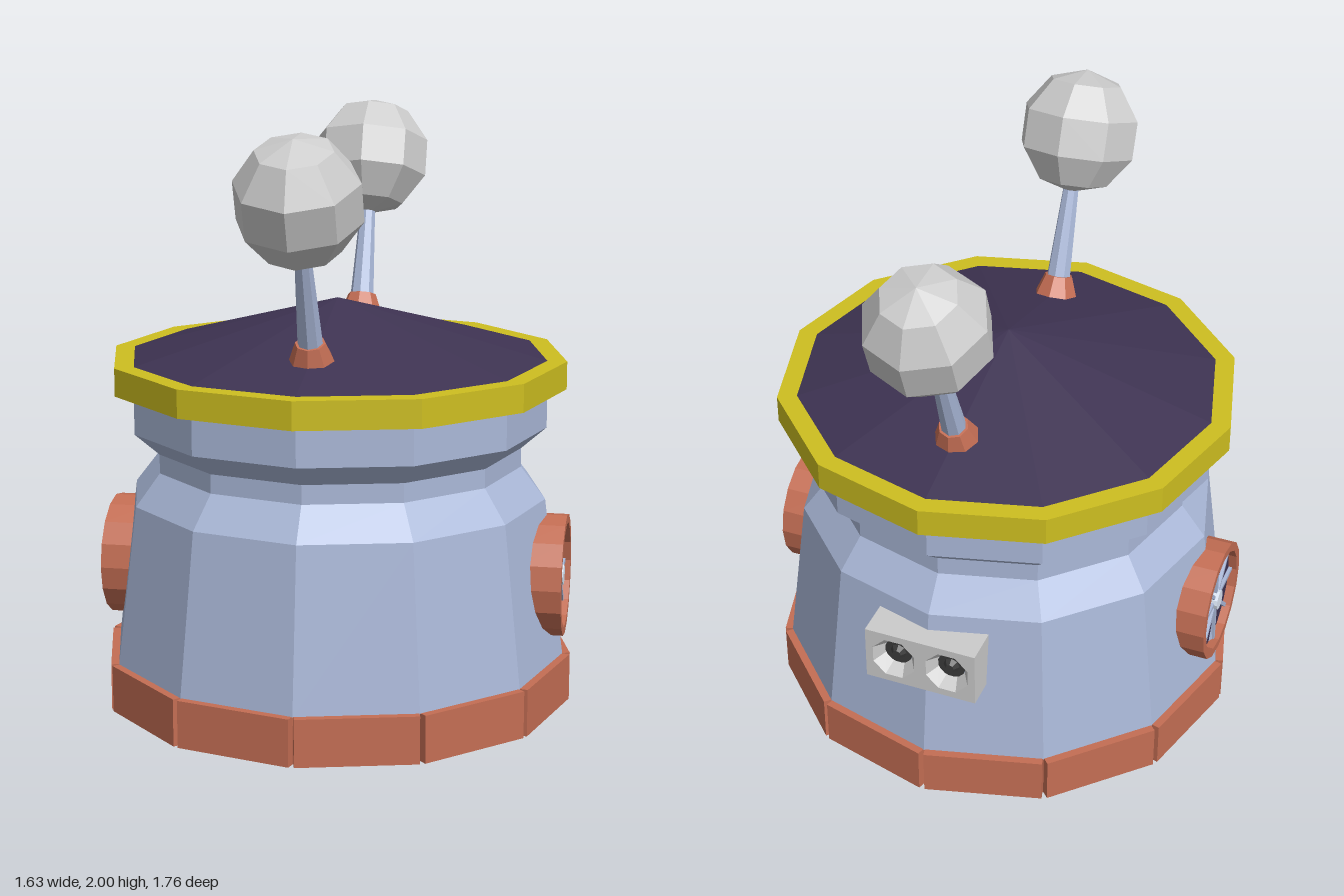
import * as THREE from 'three';

const mat = (color, side = THREE.FrontSide) =>
  new THREE.MeshStandardMaterial({ color, flatShading: true, side });
const wallMat = mat(0xaab8d8);
const brickMat = mat(0xc46e54);
const ringMat = mat(0xc46e54, THREE.DoubleSide);
const rimMat = mat(0xcdbe20);
const roofMat = mat(0x3e3352);
const greyMat = mat(0xcccccc);
const cupMat = mat(0xcccccc, THREE.DoubleSide);
const darkMat = mat(0x3a3a3a);
const hubMat = mat(0xdce6f5);

function add(parent, name, geometry, material, x = 0, y = 0, z = 0) {
  const mesh = new THREE.Mesh(geometry, material);
  mesh.name = name;
  mesh.position.set(x, y, z);
  parent.add(mesh);
  return mesh;
}

// Round spoked window facing +x, optionally with dark glass
function createWindow(glazed) {
  const g = new THREE.Group();
  g.name = 'window';
  const profile = [[0.18, 0.66], [0.21, 0.66], [0.21, 0.797], [0.18, 0.797], [0.18, 0.66]]
    .map(([r, h]) => new THREE.Vector2(r, h));
  add(g, 'windowFrame', new THREE.LatheGeometry(profile, 16), ringMat).rotation.z = -Math.PI / 2;
  if (glazed) {
    add(g, 'windowGlass', new THREE.CylinderGeometry(0.185, 0.185, 0.01, 16), roofMat, 0.763)
      .rotation.z = -Math.PI / 2;
  }
  add(g, 'windowHub', new THREE.CylinderGeometry(0.035, 0.035, 0.03, 12), hubMat, 0.775)
    .rotation.z = -Math.PI / 2;
  for (let i = 0; i < 8; i++) {
    const a = (i * Math.PI) / 4;
    add(g, 'windowSpoke', new THREE.BoxGeometry(0.016, 0.16, 0.014), wallMat,
      0.772, Math.cos(a) * 0.105, Math.sin(a) * 0.105).rotation.x = a;
  }
  g.position.y = 0.445;
  return g;
}

// Leaning rod with a faceted ball, rooted in a collar on the roof
function createAntenna() {
  const g = new THREE.Group();
  g.name = 'antenna';
  add(g, 'antennaCollar', new THREE.CylinderGeometry(0.05, 0.08, 0.08, 8), brickMat, 0, 0.01);
  add(g, 'antennaRod', new THREE.CylinderGeometry(0.025, 0.043, 0.4, 8), wallMat, 0, 0.22);
  add(g, 'antennaBall', new THREE.SphereGeometry(0.214, 8, 5), greyMat, 0, 0.562);
  g.position.set(0, 1.27, 0.465);
  g.rotation.x = 0.368;
  return g;
}

// Box with two octagonal cups, facing +z
function createTwinSocket() {
  const g = new THREE.Group();
  g.name = 'twinSocket';
  const shape = new THREE.Shape([[-0.195, -0.1], [0.195, -0.1], [0.195, 0.1], [-0.195, 0.1]]
    .map(([x, y]) => new THREE.Vector2(x, y)));
  for (const x of [-0.095, 0.095]) {
    const hole = [];
    for (let i = 0; i < 8; i++) {
      const a = -((i + 0.5) * Math.PI) / 4;
      hole.push(new THREE.Vector2(x + 0.08 * Math.cos(a), 0.08 * Math.sin(a)));
    }
    shape.holes.push(new THREE.Path(hole));
    const cup = add(g, 'socketCup',
      new THREE.CylinderGeometry(0.08, 0.05, 0.045, 8, 1, true, Math.PI / 8), cupMat, x, 0, 0.7775);
    cup.rotation.x = Math.PI / 2;
    add(g, 'socketCentre', new THREE.CylinderGeometry(0.052, 0.052, 0.01, 8), darkMat, x, 0, 0.752)
      .rotation.x = Math.PI / 2;
    add(g, 'socketPin', new THREE.CylinderGeometry(0.015, 0.03, 0.02, 8), darkMat, x, 0, 0.765)
      .rotation.x = Math.PI / 2;
  }
  add(g, 'socketBox', new THREE.ExtrudeGeometry(shape, { depth: 0.15, bevelEnabled: false }),
    greyMat, 0, 0, 0.65);
  g.position.y = 0.55;
  return g;
}

export function createModel() {
  const model = new THREE.Group();
  model.name = 'roundTower';

  // Twelve-sided wall, stacked from [height, radius] steps
  const steps = [[0.16, 0.79], [0.71, 0.72], [0.82, 0.635], [0.885, 0.635], [0.96, 0.72], [1.12, 0.72]];
  const wall = new THREE.Group();
  wall.name = 'wall';
  model.add(wall);
  for (let i = 1; i < steps.length; i++) {
    const [y0, r0] = steps[i - 1], [y1, r1] = steps[i];
    add(wall, 'wallBand', new THREE.CylinderGeometry(r1, r0, y1 - y0, 12, 1, true), wallMat,
      0, (y0 + y1) / 2);
  }

  // Plinth core with twelve separate slabs
  const plinth = new THREE.Group();
  plinth.name = 'plinth';
  model.add(plinth);
  add(plinth, 'plinthCore', new THREE.CylinderGeometry(0.785, 0.785, 0.158, 12), brickMat, 0, 0.079);
  for (let i = 0; i < 12; i++) {
    const a = ((i + 0.5) * Math.PI) / 6;
    add(plinth, 'plinthSlab', new THREE.BoxGeometry(0.404, 0.162, 0.05), brickMat,
      Math.sin(a) * 0.765, 0.081, Math.cos(a) * 0.765).rotation.y = a;
  }

  // Rim and shallow roof
  add(model, 'roofRim', new THREE.CylinderGeometry(0.785, 0.785, 0.095, 12), rimMat, 0, 1.1425);
  add(model, 'roof', new THREE.ConeGeometry(0.718, 0.195, 12), roofMat, 0, 1.2875);

  // Windows on both sides
  const leftWindow = createWindow(false);
  const rightWindow = createWindow(true);
  rightWindow.rotation.y = Math.PI;
  model.add(leftWindow, rightWindow);

  // Twin socket on the back
  const socket = createTwinSocket();
  socket.rotation.y = Math.PI;
  model.add(socket);

  // Front and back antennas
  for (const turn of [0, Math.PI]) {
    const pivot = new THREE.Group();
    pivot.name = turn ? 'backAntenna' : 'frontAntenna';
    pivot.add(createAntenna());
    pivot.rotation.y = turn;
    model.add(pivot);
  }
  return model;
}
